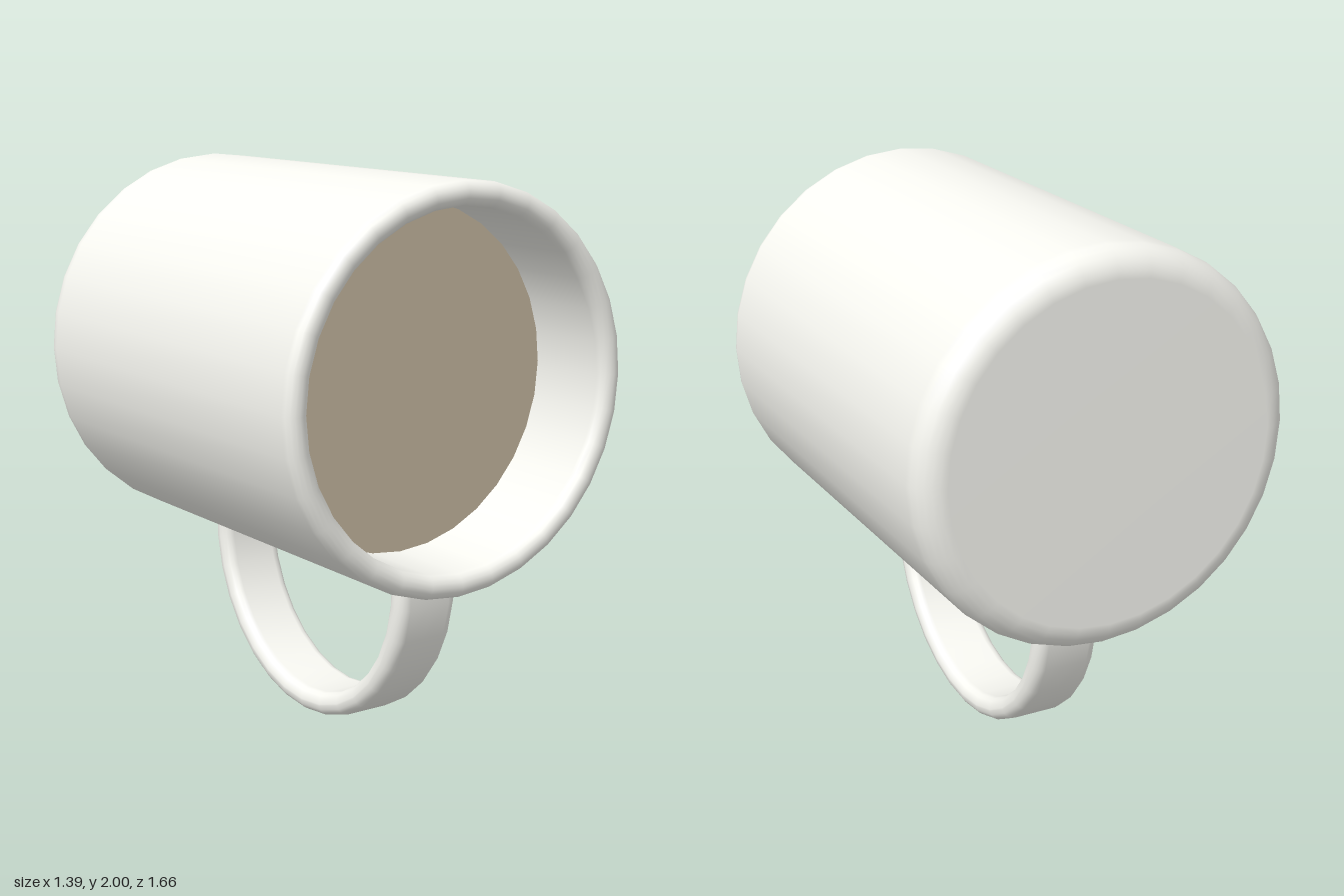
import * as THREE from 'three';

// points on a circular arc, angles in quarter turns
function arc(cx, cy, r, from, to, steps) {
  const points = [];
  for (let i = 0; i <= steps; i++) {
    const a = (from + (to - from) * i / steps) * Math.PI / 2;
    points.push(new THREE.Vector2(cx + r * Math.cos(a), cy + r * Math.sin(a)));
  }
  return points;
}

function addMesh(parent, name, geometry, color) {
  const mesh = new THREE.Mesh(geometry, new THREE.MeshStandardMaterial({ color }));
  mesh.name = name;
  parent.add(mesh);
  return mesh;
}

export function createModel() {
  const model = new THREE.Group();
  model.name = 'mug';

  const ceramic = 0xf7f7f1, drinkColor = 0xc7b9a1;
  const radius = 0.696, inner = 0.61, half = 0.83, axisY = 1.304, sides = 32;
  const lip = (radius - inner) / 2;

  // body: base, rounded foot, outer wall, round lip, inner wall and floor
  const profile = [
    new THREE.Vector2(0, -half),
    ...arc(radius - 0.1, -half + 0.1, 0.1, -1, 0, 6),
    ...arc(inner + lip, half - lip, lip, 0, 2, 8),
    ...arc(inner - 0.06, -half + 0.14, 0.06, 0, -1, 4),
    new THREE.Vector2(0, -half + 0.08),
  ];
  const body = addMesh(model, 'body', new THREE.LatheGeometry(profile, sides), ceramic);
  body.rotation.x = Math.PI / 2;
  body.position.y = axisY;

  // drink: flat disc inside the opening
  const drink = addMesh(model, 'drink', new THREE.CircleGeometry(inner, sides), drinkColor);
  drink.rotation.z = Math.PI / 2;
  drink.position.set(0, axisY, 0.48);

  // handle: rounded band swept through a half circle, ends sunk into the wall
  const outerR = 0.612, innerR = 0.526, halfWidth = 0.122, round = 0.04;
  const start = new THREE.Vector2(outerR, 0);
  const band = [
    start,
    ...arc(outerR - round, halfWidth - round, round, 0, 1, 4),
    ...arc(innerR + round, halfWidth - round, round, 1, 2, 4),
    ...arc(innerR + round, round - halfWidth, round, 2, 3, 4),
    ...arc(outerR - round, round - halfWidth, round, 3, 4, 4),
    start.clone(),
  ];
  const sink = 0.08;
  const handle = addMesh(model, 'handle',
    new THREE.LatheGeometry(band, 16, Math.PI - sink, Math.PI + 2 * sink), ceramic);
  handle.rotation.z = Math.PI / 2;
  handle.position.set(0, outerR, 0.043);

  return model;
}
